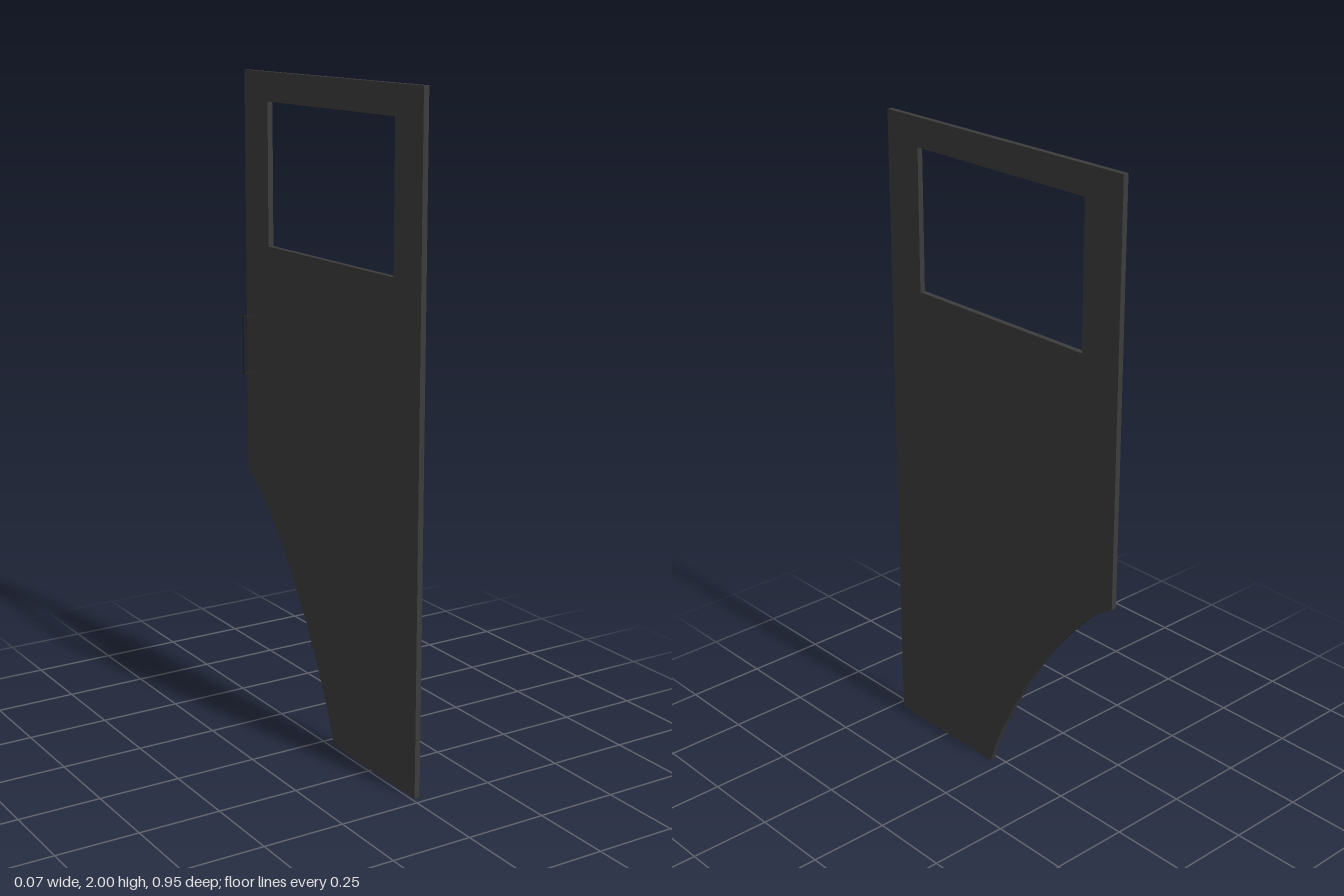
import * as THREE from 'three';

export function createModel() {
  const model = new THREE.Group();
  model.name = 'vehicleDoor';

  const panelPaint = new THREE.MeshStandardMaterial({ color: 0x3c3c3c });
  panelPaint.name = 'dark grey panel';
  const handlePaint = new THREE.MeshStandardMaterial({ color: 0x262626 });
  handlePaint.name = 'black handle';

  // Door leaf: profile drawn with shape x = -z, extruded through the thickness
  const thickness = 0.017;
  const profile = new THREE.Shape();
  profile.moveTo(-0.474, 0);
  profile.lineTo(-0.04, 0);
  profile.bezierCurveTo(0.053, 0.285, 0.3, 0.66, 0.474, 0.752); // wheel arch
  profile.lineTo(0.474, 2);
  profile.lineTo(-0.474, 2);
  profile.closePath();

  // Window opening
  const opening = new THREE.Path();
  opening.moveTo(-0.342, 1.481);
  opening.lineTo(-0.342, 1.913);
  opening.lineTo(0.336, 1.913);
  opening.lineTo(0.336, 1.481);
  opening.closePath();
  profile.holes.push(opening);

  const leafGeometry = new THREE.ExtrudeGeometry(profile, {
    depth: thickness, bevelEnabled: false, curveSegments: 32,
  });
  leafGeometry.translate(0, 0, -thickness / 2);
  leafGeometry.rotateY(Math.PI / 2);
  const leaf = new THREE.Mesh(leafGeometry, panelPaint);
  leaf.name = 'doorPanel';
  leaf.position.x = 0.0207;
  leaf.rotation.y = -0.0047; // hangs very slightly ajar
  model.add(leaf);

  // Pull handle: two standoffs and a vertical grip
  const handle = new THREE.Group();
  handle.name = 'pullHandle';
  const addBar = (name, w, h, x, y) => {
    const bar = new THREE.Mesh(new THREE.BoxGeometry(w, h, 0.009), handlePaint);
    bar.name = name;
    bar.position.set(x, y, -0.411);
    handle.add(bar);
  };
  addBar('upperStandoff', 0.046, 0.005, -0.009, 1.258);
  addBar('lowerStandoff', 0.046, 0.005, -0.009, 1.08);
  addBar('grip', 0.004, 0.183, -0.032, 1.169);
  model.add(handle);

  return model;
}
